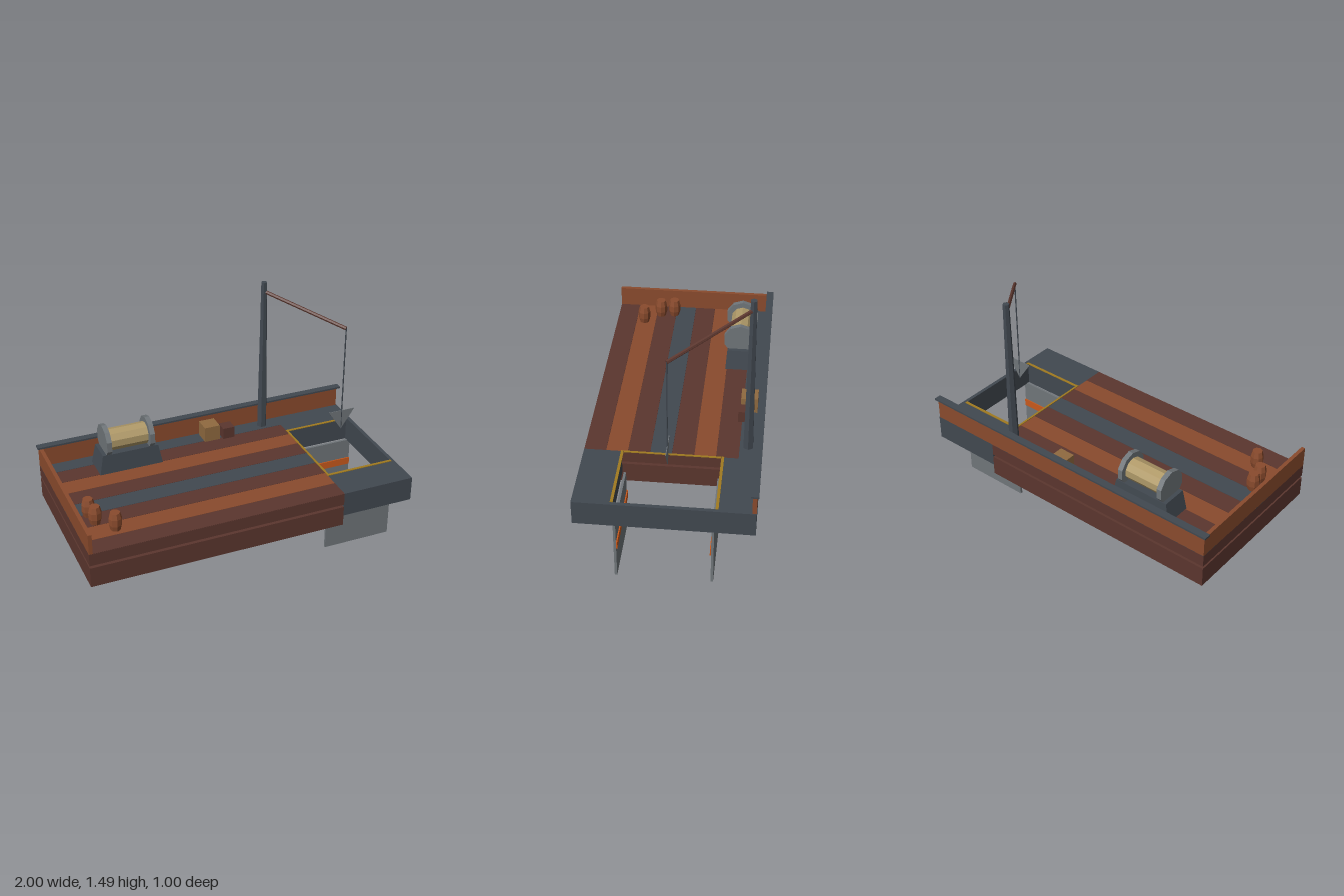
import * as THREE from 'three';

const mat = (name, color, extra = {}) => {
  const m = new THREE.MeshStandardMaterial({ color, flatShading: true, ...extra });
  m.name = name;
  return m;
};

export function createModel() {
  const rust = mat('rust wood', 0x8a4b2d);
  const brown = mat('dark brown wood', 0x5b362e);
  const steel = mat('dark steel', 0x414850);
  const grey = mat('grey metal', 0x6f7579, { side: THREE.DoubleSide });
  const tan = mat('crate wood', 0x906a40);
  const rope = mat('rope', 0xaf9968);
  const yellow = mat('warning yellow', 0xa07a20);
  const orange = mat('orange stripe', 0xc9591c);

  const root = new THREE.Group();
  root.name = 'workBarge';

  const add = (name, geo, material, pos = [0, 0, 0]) => {
    const m = new THREE.Mesh(geo, material);
    m.name = name;
    m.position.set(...pos);
    root.add(m);
    return m;
  };
  // Box given by its minimum and maximum on each axis
  const box = (name, material, x0, x1, y0, y1, z0, z1) =>
    add(name, new THREE.BoxGeometry(x1 - x0, y1 - y0, z1 - z0), material,
      [(x0 + x1) / 2, (y0 + y1) / 2, (z0 + z1) / 2]);
  // Rod between two points
  const rod = (name, material, a, b, r, sides) => {
    const d = new THREE.Vector3().subVectors(b, a);
    const m = add(name, new THREE.CylinderGeometry(r, r, d.length(), sides), material);
    m.position.addVectors(a, b).multiplyScalar(0.5);
    m.quaternion.setFromUnitVectors(new THREE.Vector3(0, 1, 0), d.normalize());
    return m;
  };

  // Hull and deck slab, with a narrow gap between them
  const zBack = -0.491, zFront = 0.497, deck = 0.524;
  box('hull', brown, -0.99, 0.54, 0.31, 0.433, zBack, zFront);
  box('deckSlab', brown, -0.99, 0.54, 0.449, deck - 0.002, zBack, zFront);

  // Deck planks, from back to front
  const w = (zFront - zBack) / 8;
  [steel, brown, rust, brown, steel, brown, rust, brown].forEach((m, i) =>
    box('deckPlank', m, -0.99, 0.54, deck - 0.002, deck,
      zBack + i * w + 0.001, zBack + (i + 1) * w - 0.001));

  // Bulwarks and rail
  box('backWall', rust, -0.99, 0.98, deck, 0.647, zBack, -0.467);
  box('sideWall', rust, -0.99, -0.968, deck, 0.647, -0.467, zFront);
  box('rail', steel, -1, 1, 0.647, 0.658, -0.5, -0.456);

  // Steel frame around the opening
  box('frameFront', steel, 0.54, 0.985, 0.374, deck, 0.285, zFront);
  box('frameBack', steel, 0.54, 0.985, 0.374, deck, zBack, -0.285);
  box('frameEnd', steel, 0.963, 0.985, 0.374, deck, -0.285, 0.285);

  // Yellow edging on the opening
  box('edgingSide', yellow, 0.538, 0.55, deck, deck + 0.004, -0.272, 0.272);
  for (const s of [-1, 1]) {
    const z = s * 0.281;
    box('edging', yellow, 0.538, 0.965, deck, deck + 0.004, z - 0.008, z + 0.008);

    // Hanging side plates, striped on the inside
    const p = 0.004 + s * 0.266;
    box('hangingPlate', grey, 0.55, 0.98, 0, 0.378, p - 0.007, p + 0.007);
    const q = p - s * 0.0105;
    box('plateStripe', orange, 0.55, 0.98, 0.2, 0.247, q - 0.0035, q + 0.0035);
  }

  // Winch base: a box narrowed at the top
  const base = new THREE.BoxGeometry(0.39, 0.121, 0.17);
  const bp = base.attributes.position;
  for (let i = 0; i < bp.count; i++) {
    if (bp.getY(i) > 0) bp.setXYZ(i, bp.getX(i) * 0.88, bp.getY(i), bp.getZ(i) * 0.9);
  }
  base.computeVertexNormals();
  add('winchBase', base, steel, [-0.496, deck + 0.0605, -0.32]);

  // Winch drum and flanges
  const xCylinder = (r, len) => new THREE.CylinderGeometry(r, r, len, 10)
    .rotateY(Math.PI / 2).rotateZ(Math.PI / 2);
  add('winchDrum', xCylinder(0.067, 0.25), rope, [-0.497, 0.706, -0.318]);
  for (const x of [-0.63, -0.364]) add('winchFlange', xCylinder(0.1, 0.03), grey, [x, 0.706, -0.318]);

  // Crane mast, boom, cable and hook plate
  add('mast', new THREE.CylinderGeometry(0.019, 0.031, 0.97, 6).rotateY(Math.PI / 6), steel,
    [0.43, deck + 0.485, -0.416]);
  const tip = new THREE.Vector3(0.765, 1.312, 0.002);
  rod('boom', brown, new THREE.Vector3(0.43, 1.435, -0.416), tip, 0.011, 6);
  rod('cable', steel, tip, new THREE.Vector3(0.765, 0.645, 0.002), 0.004, 5);
  const tri = new THREE.Shape([[-0.085, 0.77], [0, 0.645], [0.085, 0.77]]
    .map(([x, y]) => new THREE.Vector2(x, y)));
  add('hookPlate', new THREE.ExtrudeGeometry(tri, { depth: 0.004, bevelEnabled: false }), grey,
    [0.765, 0, 0]);

  // Barrels
  const profile = [[0, 0], [0.029, 0], [0.038, 0.035], [0.038, 0.075], [0.029, 0.11], [0, 0.11]]
    .map(([x, y]) => new THREE.Vector2(x, y));
  for (const [x, z] of [[-0.88, 0.137], [-0.867, 0.222], [-0.782, 0.322]]) {
    add('barrel', new THREE.LatheGeometry(profile, 8), rust, [x, deck, z]);
  }

  // Crates
  box('largeCrate', tan, 0.02, 0.118, deck, 0.62, -0.453, -0.355);
  box('smallCrate', brown, 0.138, 0.213, deck, 0.595, -0.42, -0.345);

  return root;
}
